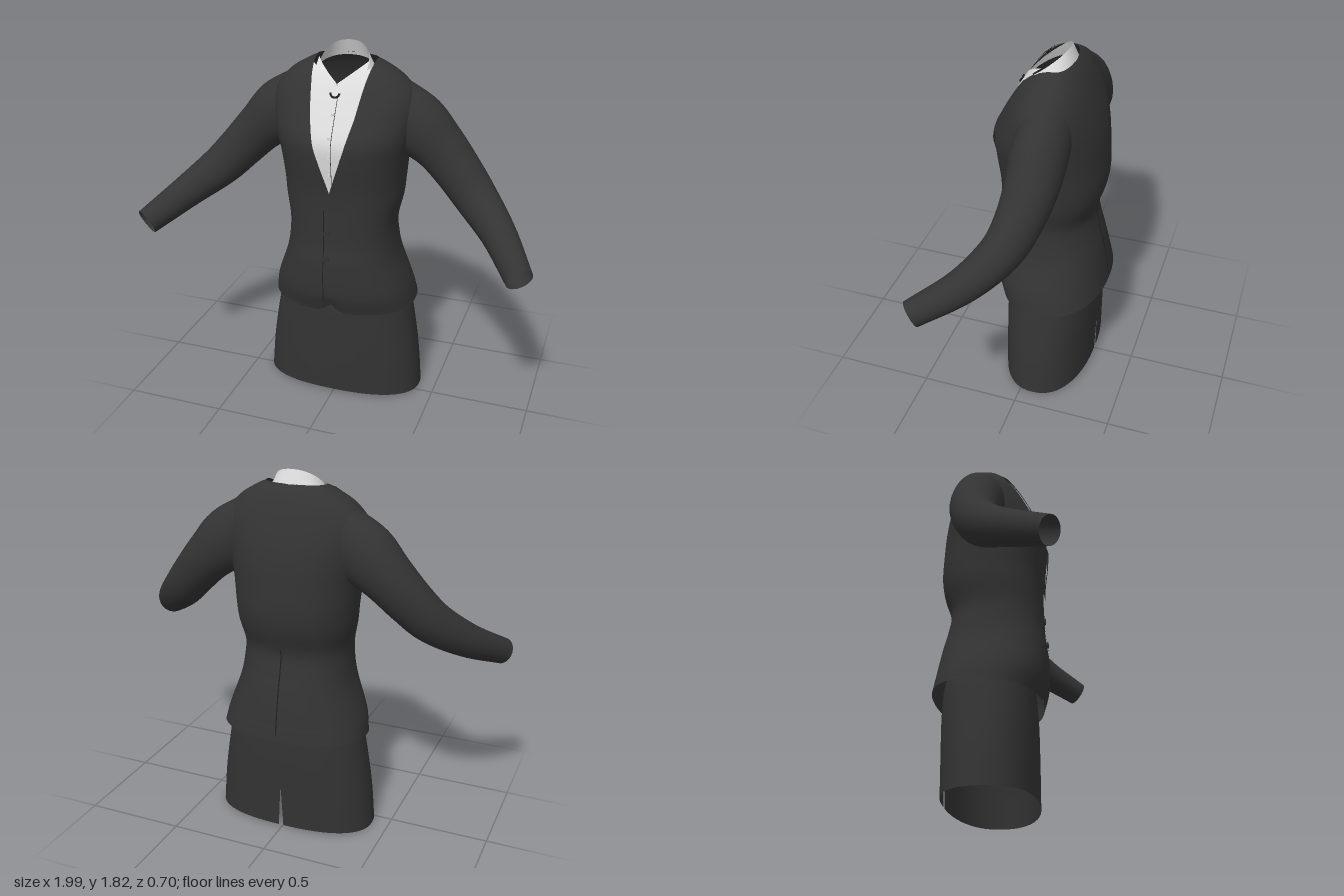
import * as THREE from 'three';

const N = 2.3; // roundness of the torso cross-section

// Torso sections: y, half width, front z, back z
const TORSO = [
  [0.50, 0.372, 0.185, -0.350], [0.60, 0.352, 0.212, -0.338], [0.77, 0.292, 0.212, -0.308],
  [0.86, 0.275, 0.200, -0.285], [0.96, 0.270, 0.195, -0.270], [1.08, 0.292, 0.192, -0.305],
  [1.17, 0.300, 0.196, -0.318], [1.30, 0.315, 0.210, -0.312], [1.40, 0.335, 0.210, -0.302],
  [1.50, 0.352, 0.165, -0.280], [1.60, 0.345, 0.110, -0.245], [1.68, 0.280, 0.060, -0.208],
  [1.73, 0.200, 0.015, -0.175], [1.755, 0.150, -0.010, -0.150],
];
const SKIRT = [
  [0.00, 0.415, 0.160, -0.292], [0.20, 0.397, 0.160, -0.295], [0.40, 0.366, 0.158, -0.298],
  [0.55, 0.335, 0.150, -0.290], [0.70, 0.270, 0.140, -0.250],
];
// Half width of the neckline, and of the lapel's outer edge with its notch
const NECKLINE = [[1.15, 0], [1.38, 0.075], [1.52, 0.11], [1.65, 0.13], [1.73, 0.145], [1.755, 0.149]];
const LAPEL = [
  [1.06, 0.02], [1.22, 0.08], [1.37, 0.16], [1.45, 0.21], [1.51, 0.20], [1.53, 0.165],
  [1.55, 0.20], [1.60, 0.245], [1.70, 0.20], [1.73, 0.17],
];

// Reads a table at y, either straight or smoothed between rows
function sample(table, y, smooth = false) {
  const last = table.length - 1;
  if (y <= table[0][0]) return table[0].slice(1);
  if (y >= table[last][0]) return table[last].slice(1);
  let i = 0;
  while (table[i + 1][0] < y) i++;
  const a = table[i], b = table[i + 1], h = b[0] - a[0], t = (y - a[0]) / h;
  const slope = (k, c) => {
    const p = table[Math.max(k - 1, 0)], q = table[Math.min(k + 1, last)];
    return (q[c] - p[c]) / (q[0] - p[0]);
  };
  return a.slice(1).map((v, k) => {
    const c = k + 1;
    if (!smooth) return v + (b[c] - v) * t;
    const t2 = t * t, t3 = t2 * t;
    return (2 * t3 - 3 * t2 + 1) * v + (t3 - 2 * t2 + t) * h * slope(i, c)
      + (3 * t2 - 2 * t3) * b[c] + (t3 - t2) * h * slope(i + 1, c);
  });
}

// Grid surface from fn(u, v) -> [x, y, z]
function surface(fn, nu, nv, closed = false) {
  const pos = [], idx = [], cols = closed ? nu : nu + 1;
  for (let j = 0; j <= nv; j++)
    for (let i = 0; i < cols; i++) pos.push(...fn(i / nu, j / nv));
  for (let j = 0; j < nv; j++)
    for (let i = 0; i < nu; i++) {
      const a = j * cols + i, b = j * cols + (i + 1) % cols;
      idx.push(a, b, b + cols, a, b + cols, a + cols);
    }
  const g = new THREE.BufferGeometry();
  g.setAttribute('position', new THREE.Float32BufferAttribute(pos, 3));
  g.setIndex(idx);
  g.computeVertexNormals();
  return g;
}

const power = (v, p) => Math.sign(v) * Math.pow(Math.abs(v), p);

// Point of a rounded section at angle t; t = 0 is the front centre
function section(table, y, t) {
  const [rx, zf, zb] = sample(table, y, true);
  return [rx * power(Math.sin(t), 2 / N), y, (zf + zb) / 2 + (zf - zb) / 2 * power(Math.cos(t), 2 / N)];
}

// Depth of the torso surface above (x, y); side is 1 for front, -1 for back
function torsoZ(x, y, side = 1) {
  const [rx, zf, zb] = sample(TORSO, y, true);
  const k = Math.pow(Math.max(0, 1 - Math.pow(Math.abs(x) / rx, N)), 1 / N);
  return (zf + zb) / 2 + side * (zf - zb) / 2 * k;
}

export function createModel() {
  const model = new THREE.Group();
  const material = (name, color) => {
    const m = new THREE.MeshStandardMaterial({ color, side: THREE.DoubleSide });
    m.name = name;
    return m;
  };
  const suit = material('charcoal cloth', 0x333333);
  const white = material('white cotton', 0xdcdcdc);
  const dark = material('dark trim', 0x1e1e1e);
  const add = (name, geometry, mat) => {
    const mesh = new THREE.Mesh(geometry, mat);
    mesh.name = name;
    model.add(mesh);
    return mesh;
  };

  // Jacket body, left open along the neckline
  add('jacketBody', surface((u, v) => {
    const y = 0.5 + 1.255 * v;
    const open = Math.asin(Math.min(1, Math.pow(sample(NECKLINE, y)[0] / sample(TORSO, y, true)[0], N / 2)));
    const p = section(TORSO, y, open + u * 2 * (Math.PI - open));
    const low = Math.max(0, 1 - v * 12);
    p[1] += low * (p[2] < 0 ? 0.03 * -p[2] / 0.35 : 0.045 * Math.exp(-Math.pow(p[0] / 0.035, 2)));
    return p;
  }, 88, 84), suit);

  // Skirt with a slit at the back
  add('skirt', surface((u, v) => {
    const y = 0.7 * v;
    const gap = 0.018 * Math.max(0, 1 - y / 0.23);
    const p = section(SKIRT, y, Math.PI + gap + u * 2 * (Math.PI - gap));
    p[1] += 0.015 * (1 - v) * (1 - Math.pow(p[0] / 0.42, 2));
    return p;
  }, 72, 20), suit);

  // Sleeves: centre, then radius across and radius front to back
  const path = [[0.22, 1.53, -0.09], [0.35, 1.445, -0.09], [0.46, 1.35, -0.09], [0.56, 1.245, -0.07],
    [0.66, 1.14, -0.025], [0.80, 1.025, 0.10], [0.94, 0.912, 0.305]];
  const radii = [[0, 0.15, 0.12], [1, 0.155, 0.13], [2, 0.128, 0.122], [3, 0.115, 0.11],
    [4, 0.105, 0.098], [5, 0.085, 0.082], [6, 0.066, 0.064]];
  const curve = new THREE.CatmullRomCurve3(path.map(p => new THREE.Vector3(...p)));
  for (const s of [1, -1]) {
    add(s > 0 ? 'leftSleeve' : 'rightSleeve', surface((u, v) => {
      const c = curve.getPoint(v), tangent = curve.getTangent(v);
      const side = new THREE.Vector3(0, 0, 1).addScaledVector(tangent, -tangent.z).normalize();
      const up = new THREE.Vector3().crossVectors(side, tangent);
      const [ru, rs] = sample(radii, v * 6, true), a = s * u * Math.PI * 2;
      c.addScaledVector(up, ru * Math.cos(a)).addScaledVector(side, rs * Math.sin(a));
      return [s * c.x, c.y, c.z];
    }, 28, 36, true), suit);

    // Lapel lying on the chest
    add(s > 0 ? 'leftLapel' : 'rightLapel', surface((u, v) => {
      const y = 1.08 + 0.65 * v;
      const inner = sample(NECKLINE, y)[0], outer = Math.max(inner, sample(LAPEL, y)[0]);
      const x = s * (inner + (outer - inner) * (s > 0 ? u : 1 - u));
      return [x, y, torsoZ(x, y) + 0.009];
    }, 6, 60), suit);

    // Shirt collar point
    add(s > 0 ? 'leftCollarPoint' : 'rightCollarPoint', surface((u, v) => {
      const x = 0.005 + 0.12 * u;
      const top = 1.66 + 0.75 * x;
      const low = u < 0.45 ? 1.655 - 0.065 * u / 0.45 : 1.59 + 0.1 * (u - 0.45) / 0.55;
      const y = low + (top - low) * v;
      return [s * x, y, torsoZ(x, y) + 0.004];
    }, 10, 6), white);
  }

  // Shirt front filling the neckline
  add('shirtFront', surface((u, v) => {
    const k = 2 * u - 1;
    const y = 1.12 + v * (0.53 + 0.08 * Math.abs(k));
    const x = k * (sample(NECKLINE, y)[0] + 0.008);
    return [x, y, torsoZ(x, y) - 0.008];
  }, 16, 30), white);

  // Shirt collar band, high at the back and low at the throat
  add('collarBand', surface((u, v) => {
    const t = u * Math.PI * 2, c = Math.cos(t), mix = (a, b) => a + (b - a) * v;
    return [mix(0.147, 0.118) * power(Math.sin(t), 0.9), mix(1.69, 1.74) - mix(0.05, 0.08) * c,
      mix(-0.042, -0.027) + mix(0.115, 0.1) * c];
  }, 48, 4, true), white);

  // Thin seam lines on the torso
  const seam = (name, x, y0, y1, side, w, mat, lift) => add(name, surface((u, v) => {
    const px = x + w * (u - 0.5) * side, y = y0 + (y1 - y0) * v;
    return [px, y, torsoZ(px, y, side) + side * lift];
  }, 1, 30), mat);
  seam('jacketOpening', -0.028, 0.57, 1.06, 1, 0.005, dark, 0.004);
  seam('backVent', 0, 0.56, 0.98, -1, 0.006, dark, 0.004);
  seam('shirtPlacket', 0.012, 1.2, 1.6, 1, 0.003, suit, -0.005);

  // Buttons
  const button = (name, x, y, r, mat, lift) => {
    const b = add(name, new THREE.CylinderGeometry(r, r, 0.008, 14), mat);
    b.rotation.x = Math.PI / 2;
    b.position.set(x, y, torsoZ(x, y) + lift);
  };
  for (const y of [0.81, 0.94]) button('jacketButton', -0.015, y, 0.016, suit, 0.005);
  for (const y of [1.25, 1.34, 1.43, 1.53]) button('shirtButton', 0, y, 0.007, white, -0.005);

  // Small dark loop at the throat
  const loop = add('throatLoop', new THREE.TorusGeometry(0.022, 0.005, 6, 16, Math.PI), dark);
  loop.rotation.set(-0.4, 0, Math.PI);
  loop.position.set(0, 1.625, torsoZ(0, 1.62) + 0.008);

  return model;
}
